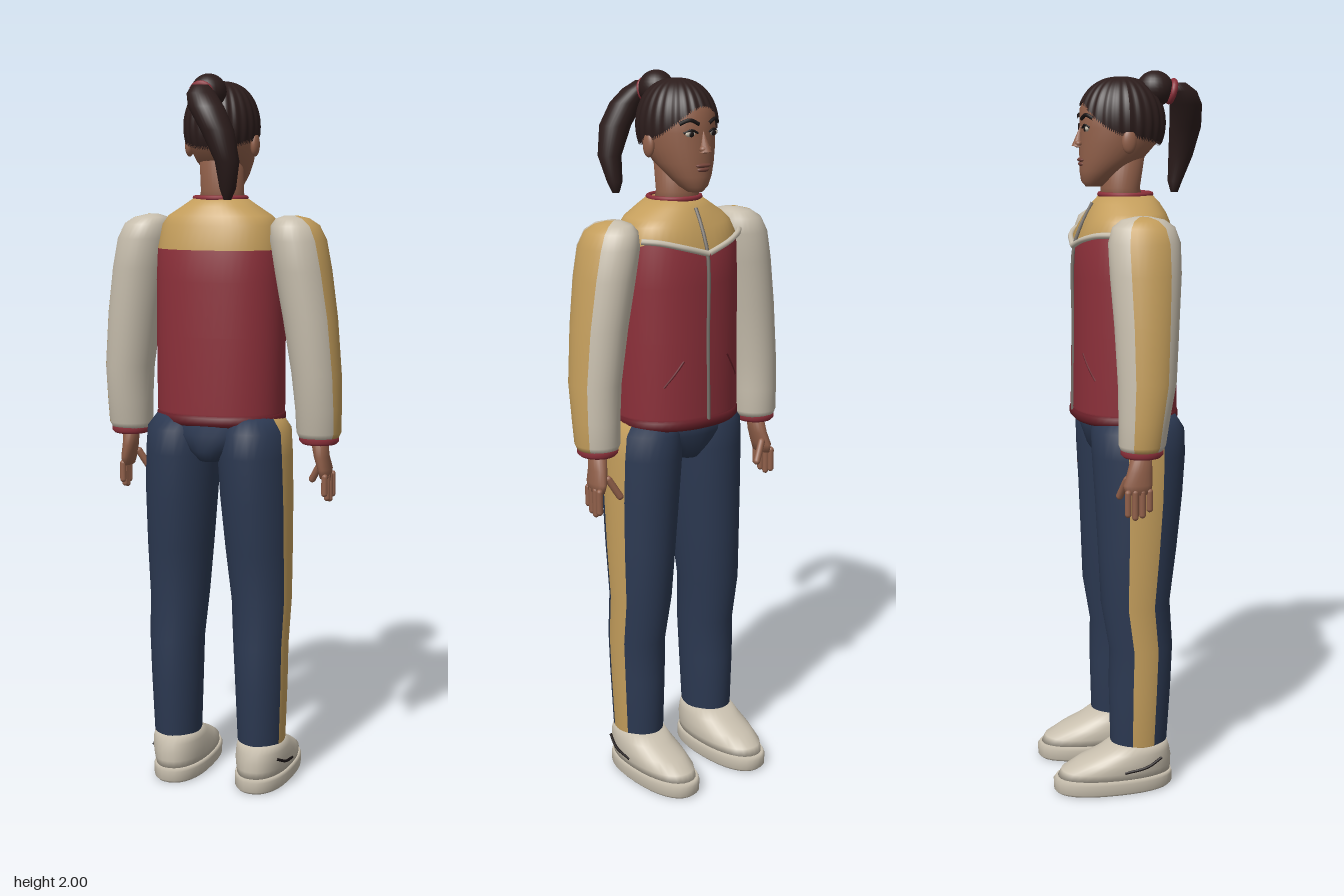
import * as THREE from 'three';

const mat = (name, color) => Object.assign(new THREE.MeshStandardMaterial({ color }), { name });

export function createModel() {
  const root = new THREE.Group();
  root.name = 'trackSuitFigure';
  const skin = mat('skin', 0x91604a), hair = mat('hair', 0x2c1d1c), cream = mat('cream', 0xc8bfae);
  const gold = mat('gold', 0xc49e5c), red = mat('red', 0x8c303a), navy = mat('navy', 0x2c3952);
  const dark = mat('dark', 0x1c1616), darkRed = mat('darkRed', 0x6a2029), grey = mat('grey', 0x77716a);
  const lip = mat('lip', 0x74443a);

  const add = (name, geo, material, parent = root) => {
    const m = new THREE.Mesh(geo, material);
    m.name = name;
    parent.add(m);
    return m;
  };

  // Smooth skin over stacked rings [y, cx, cz, rx, rz, frontLift], listed from bottom to top
  const loft = (rings, { n = 32, power = 2, pick = () => 0, side = 1 } = {}) => {
    const pos = [], faces = [[], []];
    const round = v => Math.sign(v) * Math.abs(v) ** (2 / power);
    rings.forEach(([y, cx, cz, rx, rz, lift = 0]) => {
      for (let j = 0; j < n; j++) {
        const a = j / n * Math.PI * 2, c = Math.cos(a), s = Math.sin(a);
        pos.push(cx * side + rx * round(c), y + lift * Math.max(0, -s) * Math.abs(c) * 2, cz + rz * round(s));
      }
    });
    for (let i = 0; i < rings.length - 1; i++) for (let j = 0; j < n; j++) {
      const a = i * n + j, b = i * n + (j + 1) % n;
      faces[pick(i, (j + 0.5) / n * Math.PI * 2)].push(a, a + n, b, b, a + n, b + n);
    }
    // End caps
    [0, rings.length - 1].forEach(i => {
      const [y, cx, cz] = rings[i], k = pos.length / 3;
      pos.push(cx * side, y, cz);
      for (let j = 0; j < n; j++) {
        const a = i * n + j, b = i * n + (j + 1) % n;
        faces[pick(i, (j + 0.5) / n * Math.PI * 2)].push(...(i ? [a, k, b] : [a, b, k]));
      }
    });
    const g = new THREE.BufferGeometry();
    g.setAttribute('position', new THREE.Float32BufferAttribute(pos, 3));
    g.setIndex(faces.flat());
    g.addGroup(0, faces[0].length, 0);
    g.addGroup(faces[0].length, faces[1].length, 1);
    g.computeVertexNormals();
    return g;
  };
  const tube = (pts, r, seg = 16) => new THREE.TubeGeometry(
    new THREE.CatmullRomCurve3(pts.map(p => new THREE.Vector3(...p))), seg, r, 8);
  const blob = (name, material, [x, y, z], [sx, sy, sz], parent) => {
    const m = add(name, new THREE.SphereGeometry(1, 24, 16), material, parent);
    m.position.set(x, y, z);
    m.scale.set(sx, sy, sz);
    return m;
  };

  // Jacket body with gold yoke
  add('jacket', loft([
    [1.06, 0, -0.002, 0.172, 0.138], [1.09, 0, -0.002, 0.18, 0.144], [1.3, 0, 0, 0.181, 0.142],
    [1.45, 0, 0, 0.181, 0.141], [1.535, 0, 0, 0.177, 0.137, 0.035], [1.6, 0, 0.004, 0.164, 0.116, 0.008],
    [1.625, 0, 0.005, 0.145, 0.105], [1.65, 0, 0.005, 0.105, 0.09], [1.672, 0, 0.005, 0.072, 0.07],
  ], { n: 48, power: 2.2, pick: i => (i >= 4 ? 1 : 0) }), [red, gold]);
  add('jacketHem', loft([[1.055, 0, -0.002, 0.172, 0.138], [1.065, 0, -0.002, 0.182, 0.147],
    [1.08, 0, -0.002, 0.182, 0.147], [1.09, 0, -0.002, 0.175, 0.14]], { n: 48, power: 2.2 }), darkRed);
  add('collar', new THREE.TorusGeometry(0.07, 0.007, 8, 40).rotateX(Math.PI / 2), red).position.set(0, 1.672, 0.004);
  add('zipper', tube([[0, 1.08, -0.147], [0, 1.3, -0.143], [0, 1.53, -0.14], [0, 1.6, -0.115], [0, 1.65, -0.088]], 0.005), grey);

  // Neck and head
  add('neck', loft([[1.64, 0, -0.005, 0.068, 0.06], [1.69, 0, -0.01, 0.06, 0.053], [1.8, 0, 0, 0.06, 0.06]]), skin);
  const head = new THREE.Group();
  head.name = 'head';
  root.add(head);
  add('face', loft([
    [1.694, 0, -0.084, 0.02, 0.022], [1.708, 0, -0.077, 0.038, 0.041], [1.735, 0, -0.06, 0.058, 0.062],
    [1.77, 0, -0.034, 0.077, 0.088], [1.81, 0, -0.016, 0.089, 0.106], [1.85, 0, -0.01, 0.094, 0.11],
    [1.9, 0, -0.008, 0.092, 0.112], [1.94, 0, -0.005, 0.075, 0.095], [1.97, 0, -0.003, 0.035, 0.045],
  ]), skin, head);
  const nose = add('nose', new THREE.ConeGeometry(0.017, 0.06, 12), skin, head);
  nose.position.set(0, 1.829, -0.123);
  nose.rotation.x = 0.15;
  blob('noseTip', skin, [0, 1.808, -0.127], [0.018, 0.011, 0.012], head);
  blob('upperLip', lip, [0, 1.765, -0.119], [0.025, 0.006, 0.009], head);
  blob('lowerLip', lip, [0, 1.754, -0.116], [0.021, 0.007, 0.01], head);
  for (const s of [1, -1]) {
    blob('eyeWhite', cream, [s * 0.037, 1.848, -0.111], [0.017, 0.008, 0.006], head);
    blob('iris', dark, [s * 0.037, 1.848, -0.115], [0.008, 0.008, 0.004], head);
    add('eyelid', tube([[s * 0.018, 1.85, -0.118], [s * 0.037, 1.858, -0.116], [s * 0.056, 1.85, -0.105]], 0.003), dark, head);
    add('eyebrow', tube([[s * 0.016, 1.873, -0.12], [s * 0.042, 1.884, -0.114], [s * 0.064, 1.874, -0.098]], 0.005), dark, head);
    blob('ear', skin, [s * 0.095, 1.815, -0.008], [0.012, 0.032, 0.02], head);
  }

  // Braided cap: rows radiate from the crown, hairline low at the back and high over the face
  const cap = new THREE.SphereGeometry(1, 144, 20);
  const uv = cap.attributes.uv, p = cap.attributes.position;
  for (let i = 0; i < p.count; i++) {
    const a = uv.getX(i) * Math.PI * 2, t = 1 - uv.getY(i), back = Math.sin(a);
    const low = back < 0 ? -0.3 + 0.72 * back * back : -0.3 - 0.22 * back;
    const th = t * Math.acos(low), rib = 1 + 0.018 * Math.cos(a * 24) * Math.min(1, t * 4);
    const r = Math.sin(th) ** 0.85 * rib;
    p.setXYZ(i, -0.102 * r * Math.cos(a), 1.862 + 0.122 * Math.cos(th), -0.008 + 0.12 * r * back);
  }
  // Keep the winding outward after the remap
  const idx = cap.index.array;
  for (let i = 0; i < idx.length; i += 3) [idx[i + 1], idx[i + 2]] = [idx[i + 2], idx[i + 1]];
  cap.computeVertexNormals();
  const capMat = hair;
  capMat.side = THREE.DoubleSide;
  add('braidedCap', cap, capMat, head);
  blob('bun', hair, [-0.004, 1.952, 0.085], [0.048, 0.048, 0.05], head);
  add('ponytail', loft([
    [1.67, 0.077, 0.163, 0.01, 0.01], [1.7, 0.079, 0.165, 0.022, 0.02], [1.77, 0.083, 0.182, 0.032, 0.034],
    [1.85, 0.058, 0.188, 0.044, 0.044], [1.91, 0.024, 0.18, 0.048, 0.044], [1.945, 0.004, 0.162, 0.038, 0.042],
    [1.968, -0.006, 0.142, 0.022, 0.028],
  ]), hair, head);
  const tie = add('hairTie', new THREE.TorusGeometry(0.027, 0.009, 10, 24), red, head);
  tie.position.set(-0.008, 1.945, 0.13);
  tie.rotation.x = 0.25;

  // Hips joining the trouser legs
  add('hips', loft([[0.955, 0, 0.015, 0.05, 0.1], [0.985, 0, 0.016, 0.09, 0.122],
    [1.03, 0, 0.012, 0.155, 0.132], [1.08, 0, 0.005, 0.165, 0.13]]), navy);

  for (const s of [1, -1]) {
    const limb = new THREE.Group();
    limb.name = s > 0 ? 'leftSide' : 'rightSide';
    root.add(limb);
    const stripe = width => (i, a) => (Math.cos(a) * s > width ? 1 : 0);

    // Sleeve, cuff and chest details
    add('sleeve', loft([
      [1.02, 0.281, -0.018, 0.055, 0.056], [1.035, 0.281, -0.017, 0.062, 0.063], [1.1, 0.281, -0.012, 0.064, 0.068],
      [1.2, 0.277, -0.003, 0.068, 0.078], [1.35, 0.259, 0, 0.074, 0.086], [1.48, 0.238, 0.002, 0.077, 0.095],
      [1.56, 0.223, 0.002, 0.076, 0.096], [1.6, 0.214, 0.002, 0.065, 0.083], [1.618, 0.207, 0.002, 0.045, 0.058],
      [1.626, 0.202, 0.002, 0.018, 0.022],
    ], { pick: stripe(0.84), side: s }), [cream, gold], limb);
    add('cuff', loft([[1.003, 0.282, -0.018, 0.048, 0.05], [1.01, 0.282, -0.018, 0.055, 0.057],
      [1.03, 0.281, -0.018, 0.055, 0.057]], { side: s }), red, limb);
    add('chestPiping', tube([[0, 1.535, -0.143], [s * 0.08, 1.558, -0.131], [s * 0.135, 1.572, -0.103],
      [s * 0.168, 1.575, -0.07]], 0.008), cream, limb);
    add('pocketSlit', tube([[s * 0.075, 1.25, -0.131], [s * 0.1, 1.215, -0.122], [s * 0.125, 1.18, -0.108]], 0.004), darkRed, limb);

    // Hand with four fingers and a thumb
    add('palm', loft([[0.905, 0.298, -0.032, 0.014, 0.034], [0.93, 0.296, -0.032, 0.019, 0.04],
      [0.965, 0.288, -0.025, 0.021, 0.034], [1.015, 0.282, -0.018, 0.024, 0.026]], { n: 20, side: s }), skin, limb);
    [0, 1, 2, 3].forEach(k => {
      const z = -0.002 - k * 0.02, len = [0.065, 0.08, 0.085, 0.075][k];
      add('finger', new THREE.CapsuleGeometry(0.009, len - 0.018, 4, 10), skin, limb)
        .position.set(s * (0.303 + 0.002 * k), 0.92 - len / 2, z);
    });
    const thumb = add('thumb', new THREE.CapsuleGeometry(0.01, 0.06, 4, 10), skin, limb);
    thumb.position.set(s * 0.262, 0.915, -0.064);
    thumb.rotation.set(0.25, 0, -s * 0.5);

    // Trouser leg with side stripe
    add('trouserLeg', loft([
      [0.125, 0.128, 0.012, 0.06, 0.074], [0.14, 0.128, 0.012, 0.067, 0.081], [0.3, 0.128, 0.015, 0.073, 0.088],
      [0.42, 0.127, 0.018, 0.077, 0.09], [0.55, 0.124, 0.003, 0.084, 0.097], [0.7, 0.118, 0.01, 0.093, 0.11],
      [0.85, 0.112, 0.015, 0.1, 0.122], [0.97, 0.107, 0.016, 0.102, 0.13], [1.04, 0.104, 0.014, 0.1, 0.13],
      [1.08, 0.095, 0.01, 0.08, 0.11],
    ], { pick: stripe(0.9), side: s }), [navy, gold], limb);

    // Shoe
    add('shoeSole', loft([[0, 0.125, -0.062, 0.072, 0.163], [0.008, 0.125, -0.062, 0.079, 0.171],
      [0.035, 0.125, -0.062, 0.08, 0.172], [0.045, 0.125, -0.06, 0.076, 0.167]], { power: 2.3, side: s }), cream, limb);
    add('shoeUpper', loft([[0.04, 0.125, -0.06, 0.073, 0.164], [0.065, 0.126, -0.053, 0.078, 0.158],
      [0.09, 0.127, -0.03, 0.077, 0.135], [0.115, 0.128, -0.003, 0.072, 0.103],
      [0.14, 0.128, 0.012, 0.064, 0.08]], { power: 2.2, side: s }), cream, limb);
    add('shoeStripe', tube([[s * 0.19, 0.1, 0.065], [s * 0.203, 0.08, 0.02], [s * 0.203, 0.068, -0.045]], 0.004), dark, limb);
  }
  return root;
}
